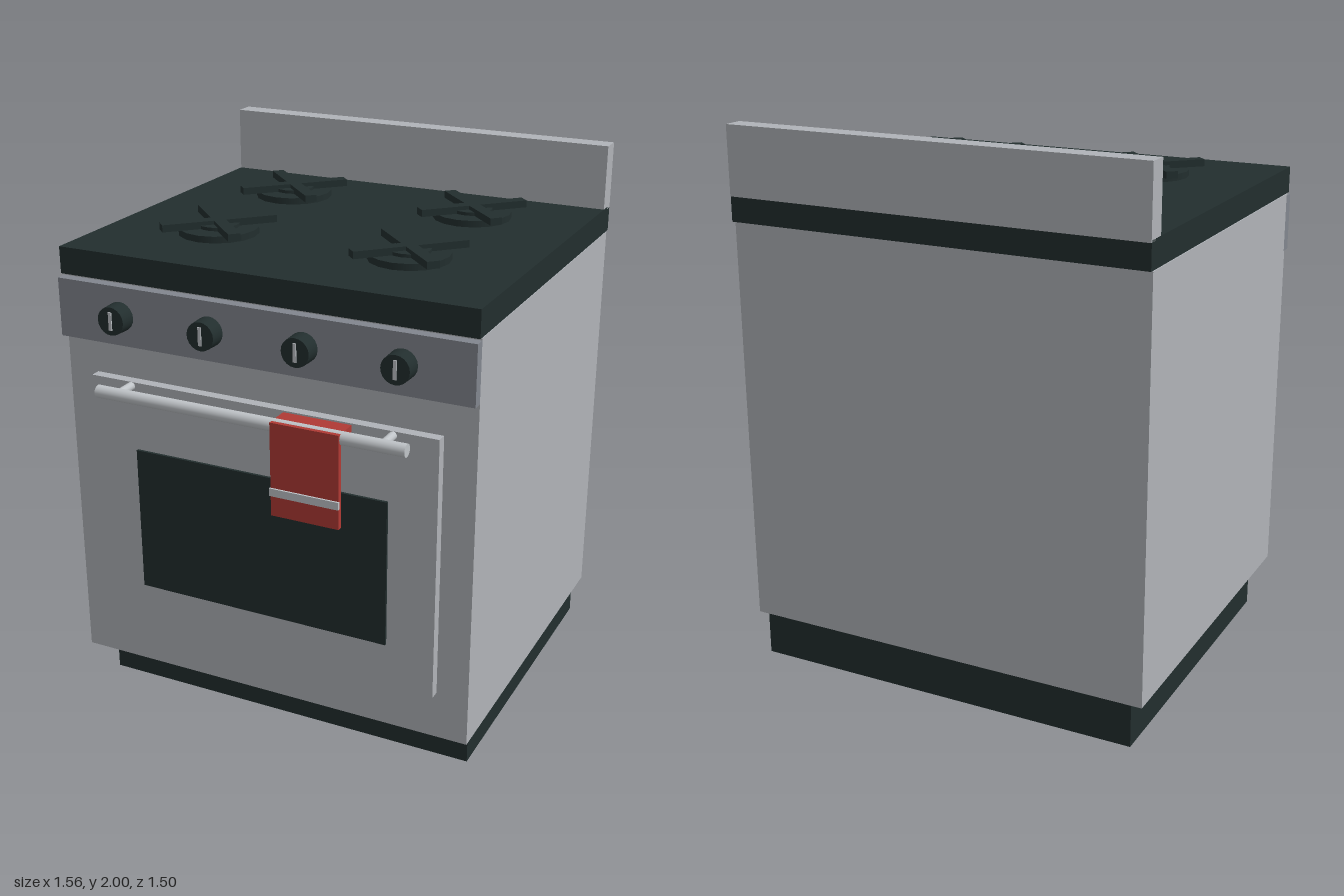
import * as THREE from 'three';

const mat = (name, color) => {
  const m = new THREE.MeshStandardMaterial({ color });
  m.name = name;
  return m;
};

export function createModel() {
  const steel = mat('steel', 0xb0b3b8);
  const panelGrey = mat('panelGrey', 0x82868e);
  const dark = mat('darkEnamel', 0x222e2e);
  const chrome = mat('chrome', 0xc0c4c8);
  const red = mat('redCloth', 0xb03a34);

  const stove = new THREE.Group();
  stove.name = 'stove';

  const add = (name, geometry, material, parent = stove) => {
    const mesh = new THREE.Mesh(geometry, material);
    mesh.name = name;
    parent.add(mesh);
    return mesh;
  };
  // Box given by its extents on each axis
  const box = (name, material, [x0, x1], [y0, y1], [z0, z1], parent) => {
    const mesh = add(name, new THREE.BoxGeometry(x1 - x0, y1 - y0, z1 - z0), material, parent);
    mesh.position.set((x0 + x1) / 2, (y0 + y1) / 2, (z0 + z1) / 2);
    return mesh;
  };
  const group = (name, x, y, z) => {
    const g = new THREE.Group();
    g.name = name;
    g.position.set(x, y, z);
    stove.add(g);
    return g;
  };

  // Cabinet
  box('plinth', dark, [-0.74, 0.74], [0, 0.16], [-0.73, 0.477]);
  box('body', steel, [-0.78, 0.78], [0.16, 1.66], [-0.733, 0.597]);
  box('cooktop', dark, [-0.78, 0.78], [1.663, 1.76], [-0.75, 0.615]);
  box('backsplash', steel, [-0.78, 0.78], [1.752, 2], [-0.752, -0.677]);
  box('controlPanel', panelGrey, [-0.78, 0.78], [1.44, 1.653], [0.59, 0.635]);

  // Oven door
  box('ovenDoor', steel, [-0.663, 0.663], [0.34, 1.31], [0.59, 0.635]);
  box('ovenWindow', dark, [-0.487, 0.487], [0.51, 1.055], [0.63, 0.645]);

  // Handle and its brackets
  const bar = add('handleBar', new THREE.CylinderGeometry(0.023, 0.023, 1.17, 16), chrome);
  bar.rotation.z = Math.PI / 2;
  bar.position.set(0, 1.29, 0.715);
  for (const x of [-0.5, 0.5]) {
    const bracket = add('handleBracket', new THREE.CylinderGeometry(0.015, 0.015, 0.085, 12), chrome);
    bracket.rotation.x = Math.PI / 2;
    bracket.position.set(x, 1.295, 0.673);
  }

  // Towel folded over the bar
  box('towelFront', red, [0.105, 0.357], [0.97, 1.309], [0.725, 0.743]);
  box('towelTop', red, [0.105, 0.357], [1.285, 1.309], [0.645, 0.73]);
  box('towelStripe', chrome, [0.103, 0.359], [1.045, 1.073], [0.741, 0.75]);

  // Control knobs with pointer marks
  for (const x of [-0.53, -0.177, 0.177, 0.53]) {
    const knob = group('knob', x, 1.547, 0.635);
    const dial = add('dial', new THREE.CylinderGeometry(0.051, 0.053, 0.06, 20), dark, knob);
    dial.rotation.x = Math.PI / 2;
    dial.position.z = 0.03;
    box('pointer', chrome, [-0.006, 0.006], [-0.032, 0.034], [0.058, 0.064], knob);
  }

  // Burners with crossed grates
  for (const x of [-0.37, 0.37]) {
    for (const z of [-0.365, 0.22]) {
      const burner = group('burner', x, 1.76, z);
      add('burnerBase', new THREE.CylinderGeometry(0.145, 0.145, 0.024, 16), dark, burner).position.y = 0.012;
      add('burnerCap', new THREE.CylinderGeometry(0.075, 0.075, 0.036, 16), dark, burner).position.y = 0.018;
      for (const side of [-1, 1]) {
        const grate = add('grateBar', new THREE.BoxGeometry(0.42, 0.026, 0.045), dark, burner);
        grate.position.y = 0.037;
        grate.rotation.y = side * Math.PI / 4;
      }
    }
  }
  return stove;
}
